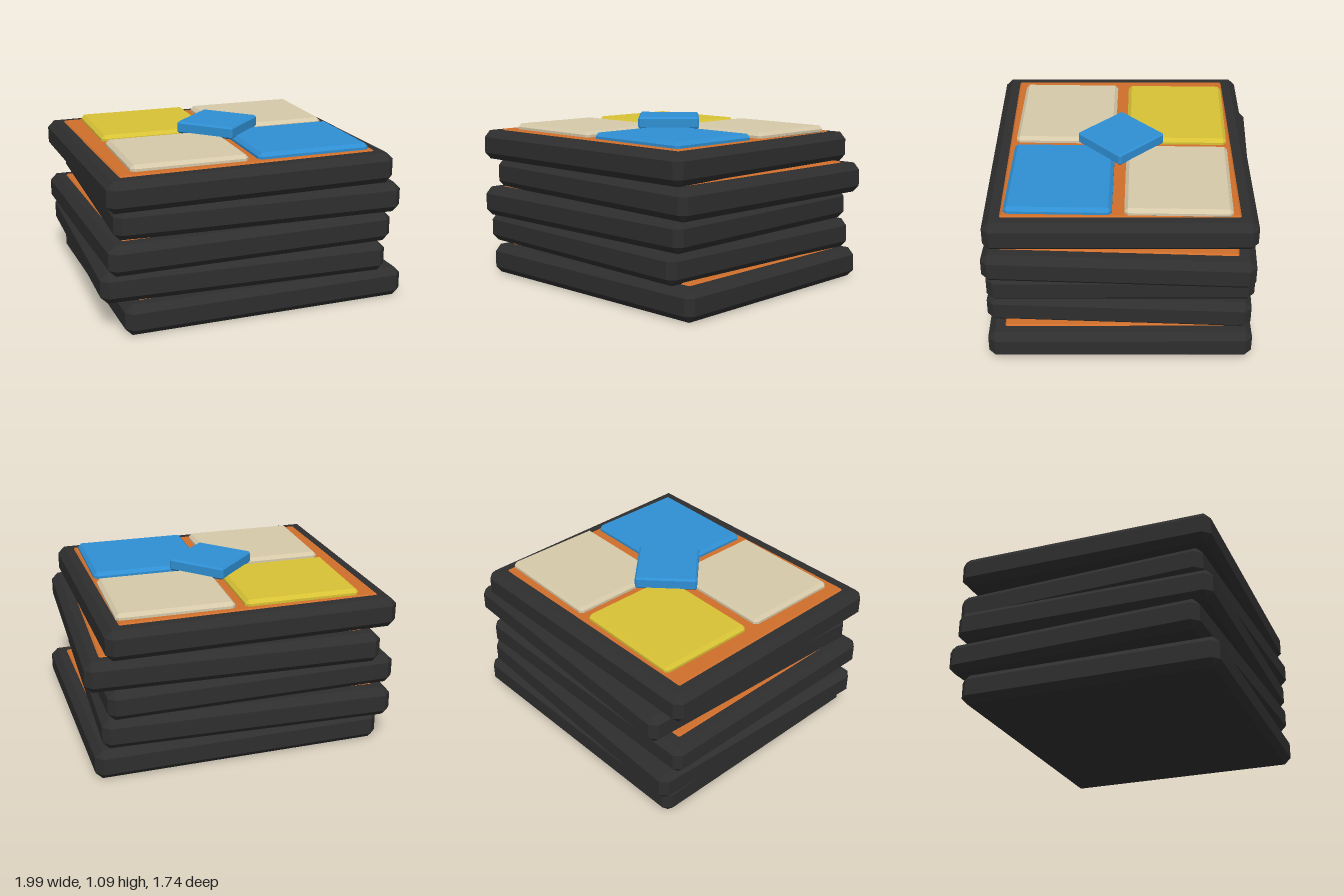
import * as THREE from 'three';
import { ConvexGeometry } from 'three/addons/geometries/ConvexGeometry.js';

const paint = (name, color) => {
  const m = new THREE.MeshStandardMaterial({ color });
  m.name = name;
  return m;
};

// Box with every edge cut flat by b
function chamferBox(w, h, d, b) {
  const x = w / 2, y = h / 2, z = d / 2, pts = [];
  for (const i of [-1, 1]) for (const j of [-1, 1]) for (const k of [-1, 1]) {
    pts.push(
      new THREE.Vector3(i * x, j * (y - b), k * (z - b)),
      new THREE.Vector3(i * (x - b), j * y, k * (z - b)),
      new THREE.Vector3(i * (x - b), j * (y - b), k * z)
    );
  }
  return new ConvexGeometry(pts);
}

export function createModel() {
  const model = new THREE.Group();
  model.name = 'stackedSlabs';

  const black = paint('charcoal', 0x2e2e2e);
  const orange = paint('orange', 0xcf6e2b);
  const yellow = paint('yellow', 0xd8c235);
  const beige = paint('beige', 0xd6c9a9);
  const blue = paint('blue', 0x2f8fd3);

  const add = (parent, name, geometry, material, x, y, z) => {
    const mesh = new THREE.Mesh(geometry, material);
    mesh.name = name;
    mesh.position.set(x, y, z);
    parent.add(mesh);
    return mesh;
  };

  // Five slabs, each shifted and twisted a little, with an orange inlay on top
  const pitch = 0.195;
  const slabGeo = chamferBox(1.865, pitch, 1.665, 0.044);
  const inlayGeo = chamferBox(1.67, 0.05, 1.46, 0.012);
  const tiers = [[1, 1], [-1, -1], [-1, 1], [1, -1], [-1, 1]]; // x side, z side and twist
  tiers.forEach(([sx, sz], i) => {
    const tier = new THREE.Group();
    tier.name = 'tier' + (i + 1);
    tier.position.set(sx * 0.046, i * pitch, sz * 0.015);
    tier.rotation.y = sz * 0.024;
    add(tier, 'slab', slabGeo, black, 0, pitch / 2, 0);
    add(tier, 'inlay', inlayGeo, orange, 0, pitch - 0.016, 0);
    model.add(tier);
  });

  // Four coloured tiles on the top inlay
  const tileGeo = chamferBox(0.745, 0.06, 0.655, 0.022);
  const tiles = [['backRightTile', yellow, -1, -1], ['backLeftTile', beige, 1, -1],
    ['frontRightTile', beige, -1, 1], ['frontLeftTile', blue, 1, 1]];
  for (const [name, material, sx, sz] of tiles) {
    add(model, name, tileGeo, material, sx * 0.403, 0.992, 0.01 + sz * 0.365);
  }

  // Diamond block in the middle
  const diamond = add(model, 'centreDiamond', chamferBox(0.4, 0.08, 0.4, 0.012), blue, 0, 1.05, 0.01);
  diamond.rotation.y = Math.PI / 4;

  return model;
}
